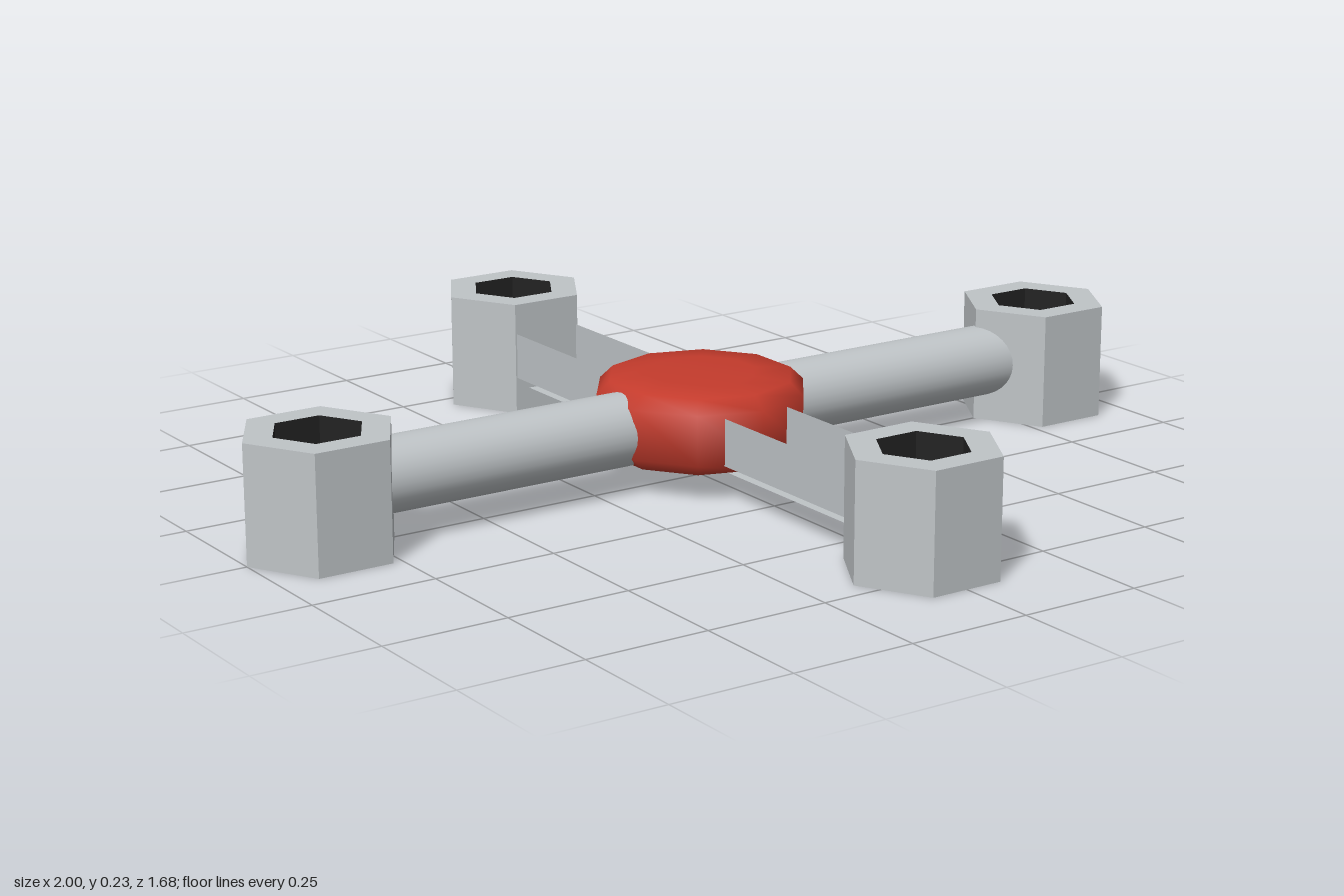
import * as THREE from 'three';
import { toCreasedNormals } from 'three/addons/utils/BufferGeometryUtils.js';

const steel = new THREE.MeshStandardMaterial({ color: 0xbfc4c7, side: THREE.DoubleSide });
steel.name = 'steel grey';
const red = new THREE.MeshStandardMaterial({ color: 0xc43b2c });
red.name = 'hub red';
const dark = new THREE.MeshStandardMaterial({ color: 0x222222 });
dark.name = 'socket black';

const SOCKET_R = 0.153, SOCKET_H = 0.235, BORE_R = 0.092, BORE_FLOOR = 0.06;
const ARM_Y = 0.124, ARM_R = 0.073;
const ARM_END = 0.62; // flat slats stop inside the socket wall

// Revolved profile with a chosen number of sides, creased at sharp edges
function lathe(points, sides, start, crease) {
  const profile = points.map(([r, y]) => new THREE.Vector2(r, y));
  return toCreasedNormals(new THREE.LatheGeometry(profile, sides, start), crease);
}

function addMesh(parent, name, geometry, material) {
  const mesh = new THREE.Mesh(geometry, material);
  mesh.name = name;
  parent.add(mesh);
  return mesh;
}

// Hexagonal cup, closed below, with a dark bore
function makeSocket(name, x, z) {
  const socket = new THREE.Group();
  socket.name = name;
  addMesh(socket, 'socketShell', lathe(
    [[0, 0], [SOCKET_R, 0], [SOCKET_R, SOCKET_H], [BORE_R, SOCKET_H]], 6, Math.PI / 2, 0.3), steel);
  addMesh(socket, 'socketBore', lathe(
    [[BORE_R, SOCKET_H], [BORE_R, BORE_FLOOR], [0, BORE_FLOOR]], 6, Math.PI / 2, 0.3), dark);
  socket.position.set(x, 0, z);
  return socket;
}

export function createModel() {
  const model = new THREE.Group();
  model.name = 'crossFrame';

  // Low ten-sided hub, smoothly rounded at its rims
  addMesh(model, 'hub', lathe(
    [[0, 0.05], [0.11, 0.05], [0.185, 0.055], [0.212, 0.08],
      [0.212, 0.18], [0.185, 0.206], [0.11, 0.212], [0, 0.213]], 10, 0, 1.2), red);

  // Round cross arm along x
  const roundArm = addMesh(model, 'roundArm',
    new THREE.CylinderGeometry(ARM_R, ARM_R, 1.69, 32), steel);
  roundArm.rotation.z = Math.PI / 2;
  roundArm.position.y = ARM_Y;

  // Open arm along z: two upright slats and a flat one below
  for (const side of [1, -1]) {
    const slat = addMesh(model, side > 0 ? 'leftSlat' : 'rightSlat',
      new THREE.PlaneGeometry(2 * ARM_END, 0.095), steel);
    slat.rotation.y = side * Math.PI / 2;
    slat.position.set(side * ARM_R, ARM_Y, 0);
  }
  const lowerSlat = addMesh(model, 'lowerSlat', new THREE.PlaneGeometry(0.09, 2 * ARM_END), steel);
  lowerSlat.rotation.x = Math.PI / 2;
  lowerSlat.position.y = ARM_Y - ARM_R;

  for (const side of [1, -1]) {
    // One socket at each arm end
    model.add(makeSocket(side > 0 ? 'leftSocket' : 'rightSocket', side * 0.847, 0));
    model.add(makeSocket(side > 0 ? 'frontSocket' : 'backSocket', 0, side * 0.705));

    // Sloped lip inside the front and back sockets
    const lip = addMesh(model, side > 0 ? 'frontLip' : 'backLip',
      new THREE.PlaneGeometry(0.14, 0.035), steel);
    lip.rotation.x = -Math.PI / 2 + side * Math.PI / 4;
    lip.position.set(0, ARM_Y, side * 0.688);
  }
  return model;
}
